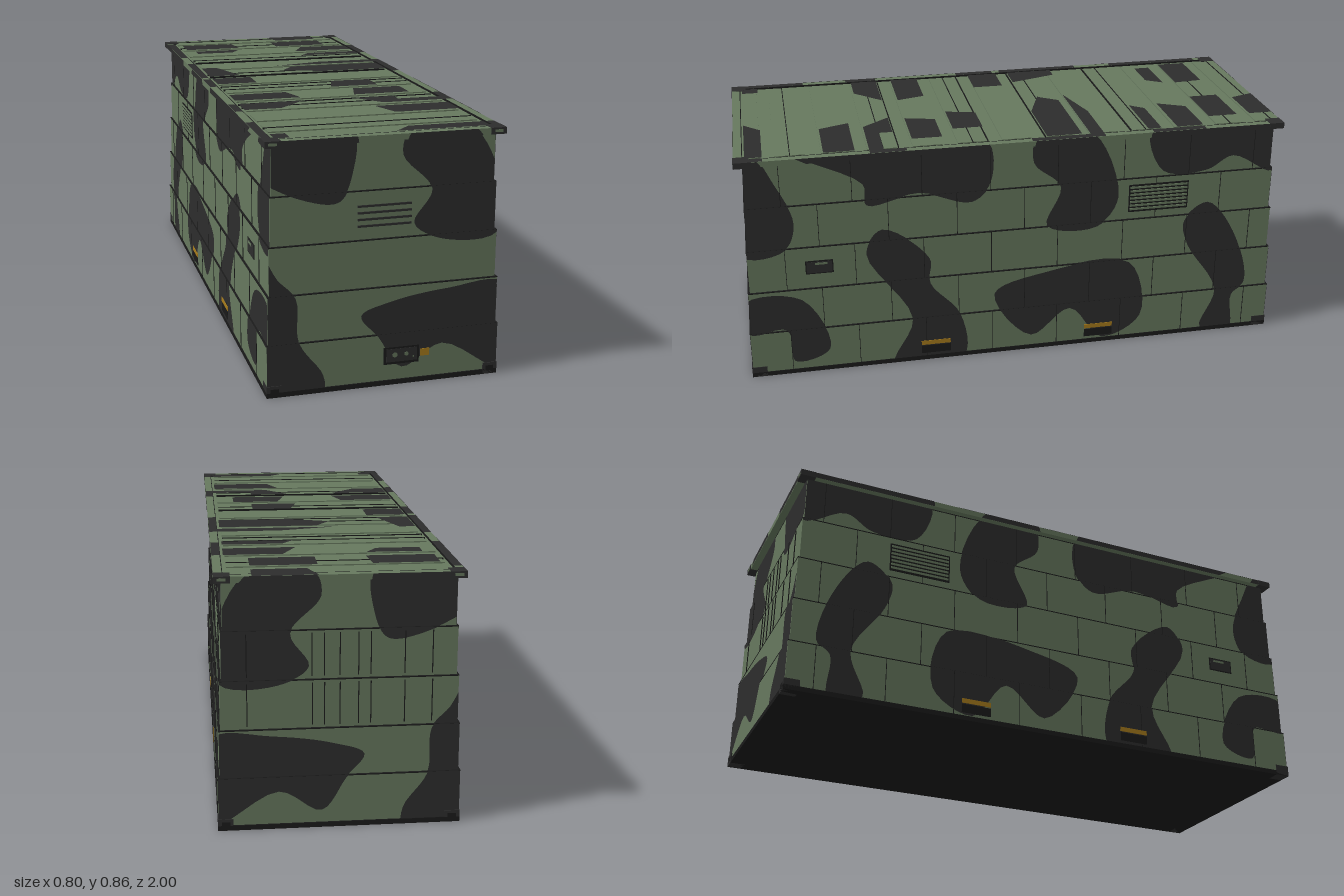
import * as THREE from 'three';

const mat = (name, color, double) => {
  const m = new THREE.MeshStandardMaterial({ color });
  m.name = name;
  if (double) m.side = THREE.DoubleSide;
  return m;
};

export function createModel() {
  const green = mat('olive green', 0x66785e);
  const dark = mat('camouflage charcoal', 0x2d2d2d, true);
  const black = mat('frame black', 0x1a1a1a);
  const amber = mat('amber marker', 0xa87c1c);
  const root = new THREE.Group();
  root.name = 'shelterContainer';

  const box = (parent, name, m, x0, x1, y0, y1, z0, z1) => {
    const mesh = new THREE.Mesh(new THREE.BoxGeometry(Math.abs(x1 - x0), y1 - y0, Math.abs(z1 - z0)), m);
    mesh.position.set((x0 + x1) / 2, (y0 + y1) / 2, (z0 + z1) / 2);
    mesh.name = name;
    parent.add(mesh);
  };

  // Stepped wall tiers, each a little smaller than the one below
  const tiers = Array.from({ length: 5 }, (_, i) => ({
    y0: 0.017 + i * 0.1634, y1: 0.017 + (i + 1) * 0.1634, w: 0.398 - i * 0.0058, l: 0.996 - i * 0.0065,
  }));
  for (const { y0, y1, w, l } of tiers) {
    box(root, 'wallTier', green, -w, w, y0, y1, -l, l);
    box(root, 'tierSeam', black, -w - 0.001, w + 0.001, y1 - 0.003, y1 + 0.0004, -l - 0.001, l + 0.001);
  }

  // Base frame, top rim and corner fittings
  box(root, 'baseFrame', black, -0.4, 0.4, 0, 0.017, -1, 1);
  box(root, 'roofPanel', green, -0.372, 0.372, 0.834, 0.848, -0.972, 0.972);
  for (const s of [-1, 1]) {
    box(root, 'sideRail', green, s * 0.37, s * 0.398, 0.834, 0.854, -0.998, 0.998);
    box(root, 'endRail', green, -0.37, 0.37, 0.834, 0.854, s * 0.968, s * 0.998);
    box(root, 'railSeam', black, s * 0.3685, s * 0.371, 0.834, 0.8545, -0.968, 0.968);
    box(root, 'endRailSeam', black, -0.37, 0.37, 0.834, 0.8545, s * 0.9665, s * 0.969);
    for (const t of [-1, 1]) {
      box(root, 'topCorner', dark, s * 0.347, s * 0.4, 0.833, 0.855, t * 0.945, t);
      box(root, 'bottomCorner', dark, s * 0.35, s * 0.4, 0, 0.04, t * 0.945, t);
      box(root, 'cornerSlot', green, s * 0.36, s * 0.388, 0.84, 0.849, t * 0.99, t * 1.0005);
      box(root, 'cornerRecess', black, s * 0.36, s * 0.388, 0.012, 0.03, t * 0.99, t * 1.0005);
    }
  }

  // Raised roof ribs with seams along some of their edges
  for (let k = -5; k <= 5; k++) box(root, 'roofRib', green, -0.355, 0.355, 0.847, 0.852, k * 0.161 - 0.053, k * 0.161 + 0.053);
  for (const s of [-1, 1]) {
    box(root, 'roofEndRib', green, -0.355, 0.355, 0.847, 0.852, s * 0.905, s * 0.966);
    for (const z of [0.105, 0.16, 0.425, 0.48, 0.805])
      box(root, 'roofSeam', black, -0.36, 0.355, 0.848, 0.8545, s * z - 0.0015, s * z + 0.0015);
  }

  // Roof camouflage strips: back z, front z, outer x, inner x, inner shift at the front
  const strips = [
    [-0.86, -0.75, -0.34, -0.12, 0.01], [-0.7, -0.64, -0.31, -0.12, -0.04], [-0.29, -0.11, -0.36, -0.3, 0.06],
    [-0.06, 0.055, -0.36, -0.21, 0], [0.265, 0.37, -0.36, -0.15, 0.03], [0.43, 0.53, -0.36, -0.13, -0.1],
    [0.9, 0.96, -0.36, -0.31, 0], [-0.998, -0.91, 0.28, 0.07, 0.03], [-0.86, -0.75, 0.28, 0.06, 0],
    [-0.7, -0.6, 0.36, 0.16, -0.05], [-0.54, -0.49, 0.36, 0.15, -0.04], [-0.32, -0.27, 0.37, 0.14, -0.2],
    [-0.24, -0.17, 0.36, 0, -0.05], [-0.17, -0.11, 0.36, -0.06, 0.16], [0.1, 0.21, 0.22, 0.07, -0.03],
    [0.26, 0.37, 0.29, 0.11, -0.03], [0.43, 0.53, 0.21, 0.06, 0.08], [0.48, 0.53, 0.37, 0.2, 0],
    [0.58, 0.69, 0.36, 0.09, 0.04], [0.9, 0.96, 0.36, 0.1, -0.06],
  ];
  const flatPatch = (name, corners) => {
    const shape = new THREE.Shape(corners.map(([x, z]) => new THREE.Vector2(x, -z)));
    const mesh = new THREE.Mesh(new THREE.ShapeGeometry(shape).rotateX(-Math.PI / 2), dark);
    mesh.position.y = 0.8549;
    mesh.name = name;
    root.add(mesh);
  };
  for (const [z0, z1, outer, inner, shift] of strips)
    flatPatch('roofCamouflage', [[outer, z0], [inner, z0], [inner + shift, z1], [outer, z1]]);

  // Camouflage on the rail tops: rail centre, then start and end z
  for (const [x, z0, z1] of [
    [-0.384, -0.92, -0.55], [-0.384, -0.4, -0.08], [-0.384, -0.05, 0.1], [-0.384, 0.43, 0.55], [-0.384, 0.72, 0.95],
    [0.384, -0.7, -0.5], [0.384, -0.32, -0.05], [0.384, 0.4, 0.53], [0.384, 0.9, 0.95],
  ]) flatPatch('railCamouflage', [[x - 0.014, z0], [x + 0.014, z0], [x + 0.014, z1], [x - 0.014, z1]]);

  // Wall camouflage guide points: x, y on the ends and z, y on the sides
  const endBlobs = [
    [-.42, .88, -.11, .87, -.11, .72, -.15, .64, -.23, .64, -.42, .74],
    [.09, .87, .28, .87, .39, .7, .39, .5, .2, .49, .1, .55, .16, .66, .06, .78],
    [-.42, .5, -.36, .4, -.3, .33, -.29, .18, -.21, .06, -.21, 0, -.42, 0],
    [-.08, .25, .02, .29, .22, .32, .42, .32, .42, .02, .2, .13, .06, .06, -.02, .17],
  ];
  const sideBlobs = [
    [1, .87, .935, .87, .87, .76, .81, .6, .85, .5, 1, .49],
    [.8, .87, .12, .87, .1, .7, .17, .63, .36, .68, .55, .65, .56, .73],
    [-.08, .88, -.27, .87, -.38, .6, -.3, .49, -.11, .51, -.16, .66, -.06, .76],
    [-.5, .87, -1, .88, -.98, .66, -.82, .73, -.72, .68, -.55, .69],
    [.5, .55, .33, .42, .33, .32, .22, .18, .21, 0, .47, 0, .4, .18, .56, .46],
    [1, .31, .8, .3, .71, .09, .84, .05, .86, .18, 1, .18],
    [.09, .25, -.1, .32, -.43, .33, -.48, .1, -.33, .02, -.2, .16, -.05, .06],
    [-.64, .48, -.73, .55, -.84, .42, -.9, .2, -.85, .15, -.85, 0, -.73, .02, -.78, .18, -.66, .38],
  ];
  const smooth = (a) => {
    const pts = Array.from({ length: a.length / 2 }, (_, i) => new THREE.Vector3(a[2 * i], a[2 * i + 1], 0));
    return new THREE.CatmullRomCurve3(pts, true).getPoints(pts.length * 6).slice(0, -1);
  };

  // Keep the part of an outline on one side of an axis-aligned line
  const clip = (pts, axis, limit, sign) => {
    const out = [];
    pts.forEach((p, i) => {
      const q = pts[(i + 1) % pts.length];
      const a = sign * (p[axis] - limit), b = sign * (q[axis] - limit);
      if (a >= 0) out.push(p);
      if (a * b < 0) out.push(p.clone().lerp(q, a / (a - b)));
    });
    return out;
  };

  // Four walls, each drawn in its own plane; sign turns x or z into local x
  const walls = [
    ['frontWall', 0, 1, true], ['backWall', Math.PI, -1, true],
    ['leftWall', Math.PI / 2, -1, false], ['rightWall', -Math.PI / 2, 1, false],
  ];
  const bands = [...tiers, { y0: 0.834, y1: 0.8545, w: 0.398, l: 0.998 }];
  for (const [name, angle, sign, isEnd] of walls) {
    const wall = new THREE.Group();
    wall.name = name;
    wall.rotation.y = angle;
    root.add(wall);
    const depth = (i) => (isEnd ? bands[i].l : bands[i].w);
    // Box on the wall standing out from tier i
    const plate = (label, m, u0, u1, y0, y1, i, out) =>
      box(wall, label, m, sign * u0, sign * u1, y0, y1, depth(i) - 0.004, depth(i) + out);

    for (const outline of (isEnd ? endBlobs : sideBlobs).map(smooth)) {
      bands.forEach(({ y0, y1, w, l }, i) => {
        const half = isEnd ? w : l;
        let p = clip(clip(outline, 'y', y0, 1), 'y', y1, -1);
        p = clip(clip(p, 'x', -half, 1), 'x', half, -1);
        if (p.length < 3) return;
        const shape = new THREE.Shape(p.map((v) => new THREE.Vector2(sign * v.x, v.y)));
        const mesh = new THREE.Mesh(new THREE.ShapeGeometry(shape), dark);
        mesh.position.z = depth(i) + 0.0012;
        mesh.name = 'wallCamouflage';
        wall.add(mesh);
      });
    }

    if (!isEnd) {
      // Staggered panel joints
      tiers.forEach(({ y0, y1 }, i) => {
        for (let z = -0.9 + (i % 2) * 0.125; z < 0.95; z += 0.25)
          plate('panelJoint', black, z - 0.001, z + 0.001, y0, y1, i, 0.002);
      });
      // Louvred vent, hatch, lift pockets and amber markers
      plate('ventFrame', black, -0.65, -0.42, 0.535, 0.645, 3, 0.002);
      for (let k = 0; k < 7; k++) plate('ventSlat', green, -0.645, -0.425, 0.543 + k * 0.0145, 0.551 + k * 0.0145, 3, 0.004);
      plate('hatchFrame', black, 0.68, 0.78, 0.4, 0.452, 2, 0.002);
      plate('hatch', dark, 0.684, 0.776, 0.404, 0.448, 2, 0.003);
      plate('hatchHandle', green, 0.7, 0.745, 0.436, 0.444, 2, 0.004);
      for (const s of [-1, 1]) {
        plate('marker', amber, s * 0.26, s * 0.37, 0.064, 0.081, 0, 0.003);
        plate('liftPocket', black, s * 0.26, s * 0.37, 0.028, 0.06, 0, 0.002);
      }
    } else if (sign > 0) {
      // Front louvres and connector box
      for (let k = 0; k < 4; k++) plate('louvre', dark, -0.092, 0.09, 0.549 + k * 0.0222, 0.556 + k * 0.0222, 3, 0.004);
      plate('connectorFrame', black, -0.003, 0.12, 0.072, 0.132, 0, 0.002);
      plate('connectorBox', dark, 0.006, 0.113, 0.08, 0.126, 0, 0.003);
      for (const [u, y, r] of [[0.036, 0.105, 0.009], [0.076, 0.105, 0.007], [0.1, 0.094, 0.003]]) {
        const socket = new THREE.Mesh(new THREE.CylinderGeometry(r, r, 0.004, 12).rotateX(Math.PI / 2), green);
        socket.position.set(u, y, depth(0) + 0.002);
        socket.name = 'socket';
        wall.add(socket);
      }
      plate('marker', amber, 0.124, 0.156, 0.092, 0.117, 0, 0.003);
    } else {
      // Rear door edges and locking bars
      for (const i of [2, 3])
        for (const u of [-0.3, -0.21, -0.1, -0.06, 0, 0.05, 0.09, 0.3])
          plate('doorBar', black, u - 0.0015, u + 0.0015, tiers[i].y0 + 0.01, tiers[i].y1 - 0.01, i, 0.003);
    }
  }
  return root;
}
